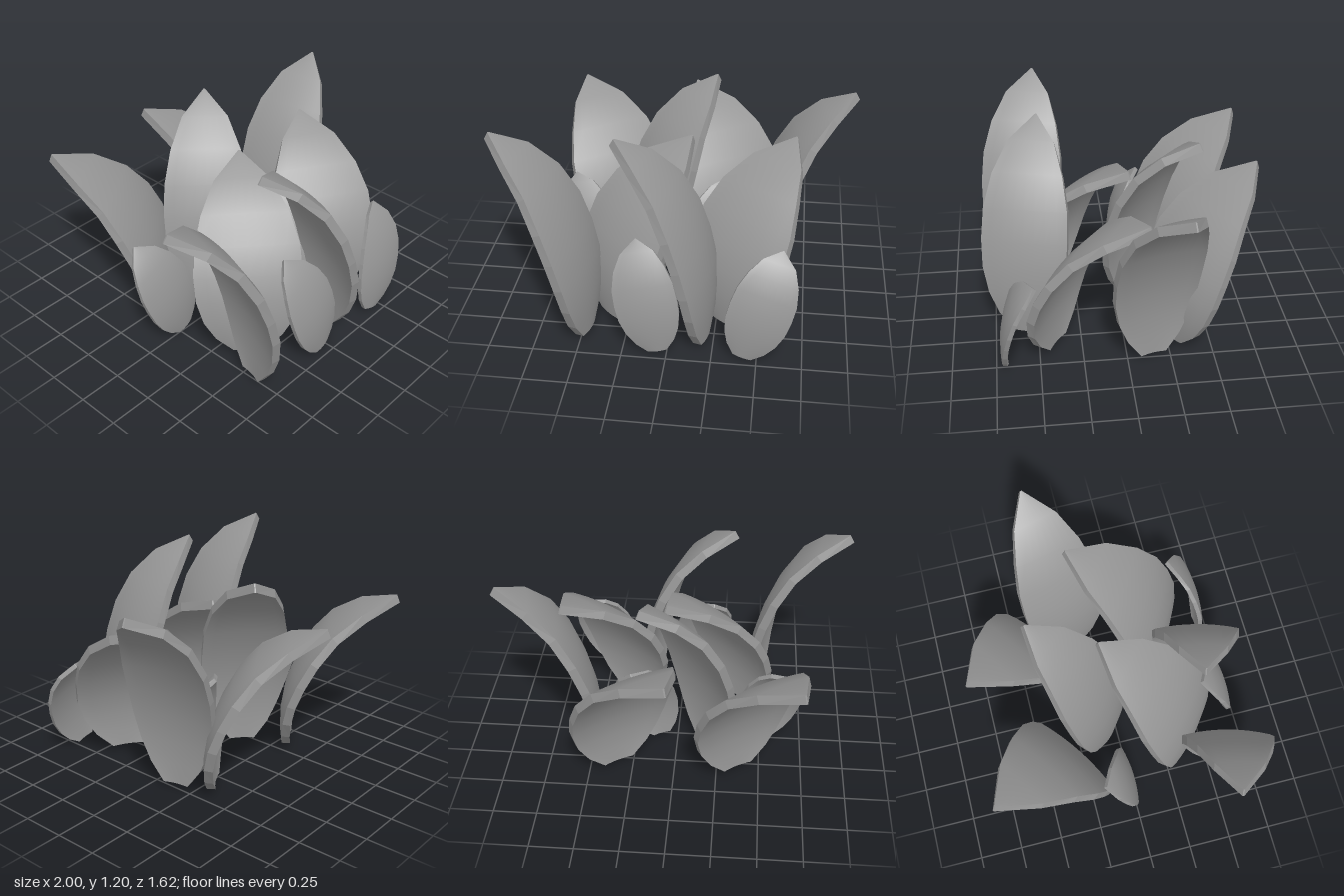
import * as THREE from 'three';

// Leaf profile by height: [height fraction, half width fraction, lean fraction]
const PROFILE = [
  [0, 0.3, 0], [0.1, 0.62, 0], [0.22, 0.84, 0.01], [0.36, 0.97, 0.05], [0.5, 1, 0.13],
  [0.65, 0.97, 0.25], [0.8, 0.81, 0.43], [0.92, 0.53, 0.69], [1, 0.015, 1],
];
const COLS = 8;

// Leaf sizes: height, half width, lean distance, thickness, bulge, ground height
const TALL = { h: 1.145, half: 0.25, lean: 0.515, thick: 0.05, bulge: 0.03, y: 0.04 };
const MEDIUM = { h: 0.93, half: 0.305, lean: 0.615, thick: 0.05, bulge: 0.03, y: 0.04 };
const SMALL = { h: 0.62, half: 0.175, lean: 0.19, thick: 0.025, bulge: 0.02, y: 0.025 };

const material = new THREE.MeshStandardMaterial({ color: 0x969696 });

function toGeometry(points, index) {
  const g = new THREE.BufferGeometry();
  g.setAttribute('position', new THREE.Float32BufferAttribute(points.flatMap((p) => p.toArray()), 3));
  g.setIndex(index);
  return g;
}

// Thick leaf leaning towards -z; the upper face looks towards +z
function leafParts(size) {
  const spine = PROFILE.map(([t, , f]) => new THREE.Vector3(0, size.h * t, -size.lean * f));
  const rows = spine.length;
  const front = [], back = [];
  spine.forEach((p, r) => {
    const tangent = spine[Math.min(r + 1, rows - 1)].clone().sub(spine[Math.max(r - 1, 0)]);
    const normal = new THREE.Vector3(1, 0, 0).cross(tangent).normalize();
    const [t, w] = PROFILE[r];
    for (let c = 0; c <= COLS; c++) {
      const s = (c / COLS) * 2 - 1;
      const puff = size.bulge * (1 - s * s) * Math.sin(Math.PI * (0.1 + 0.9 * t));
      const mid = p.clone().addScaledVector(normal, puff);
      mid.x += s * w * size.half;
      front.push(mid.clone().addScaledVector(normal, size.thick / 2));
      back.push(mid.clone().addScaledVector(normal, -size.thick / 2));
    }
  });

  // Smooth upper and lower faces
  const id = (r, c) => r * (COLS + 1) + c;
  const frontIndex = [], backIndex = [];
  for (let r = 0; r < rows - 1; r++) {
    for (let c = 0; c < COLS; c++) {
      const a = id(r, c), b = id(r, c + 1), d = id(r + 1, c + 1), e = id(r + 1, c);
      frontIndex.push(a, b, d, a, d, e);
      backIndex.push(a, d, b, a, e, d);
    }
  }

  // Flat rim around the outline
  const loop = [];
  for (let c = 0; c < COLS; c++) loop.push(id(0, c));
  for (let r = 0; r < rows - 1; r++) loop.push(id(r, COLS));
  for (let c = COLS; c > 0; c--) loop.push(id(rows - 1, c));
  for (let r = rows - 1; r > 0; r--) loop.push(id(r, 0));
  const rimIndex = [];
  loop.forEach((k, i) => {
    const n = loop[(i + 1) % loop.length], o = front.length;
    rimIndex.push(k + o, n + o, n, k + o, n, k);
  });

  const parts = {
    upperFace: toGeometry(front, frontIndex),
    lowerFace: toGeometry(back, backIndex),
    rim: toGeometry([...front, ...back], rimIndex).toNonIndexed(),
  };
  Object.values(parts).forEach((g) => g.computeVertexNormals());
  return parts;
}

// Places a leaf; yaw turns the lean from -z towards +x, roll tips it sideways towards +x
function leaf(name, size, x, z, yaw, roll = 0) {
  const group = new THREE.Group();
  group.name = name;
  for (const [part, geometry] of Object.entries(leafParts(size))) {
    const mesh = new THREE.Mesh(geometry, material);
    mesh.name = part;
    group.add(mesh);
  }
  group.position.set(x, size.y, z);
  group.rotation.set(0, -THREE.MathUtils.degToRad(yaw), -THREE.MathUtils.degToRad(roll), 'YXZ');
  return group;
}

export function createModel() {
  const model = new THREE.Group();
  model.name = 'leafCluster';
  const layout = [
    ['tallLeaf', TALL, [[-0.485, 0.565, -76], [0.185, 0.565, -76], [0.485, -0.145, 76], [-0.185, -0.075, 45]]],
    ['mediumLeaf', MEDIUM, [[-0.365, -0.29, -33], [0.345, -0.29, -33], [0.325, 0.41, 33], [-0.345, 0.40, 42]]],
    ['smallLeaf', SMALL, [[-0.46, -0.015, -4, -17], [0.1, -0.015, -8, 17], [-0.05, 0.69, -3, -12], [0.42, 0.69, 4, 17]]],
  ];
  for (const [name, size, places] of layout) {
    places.forEach((place, i) => model.add(leaf(name + (i + 1), size, ...place)));
  }
  return model;
}
